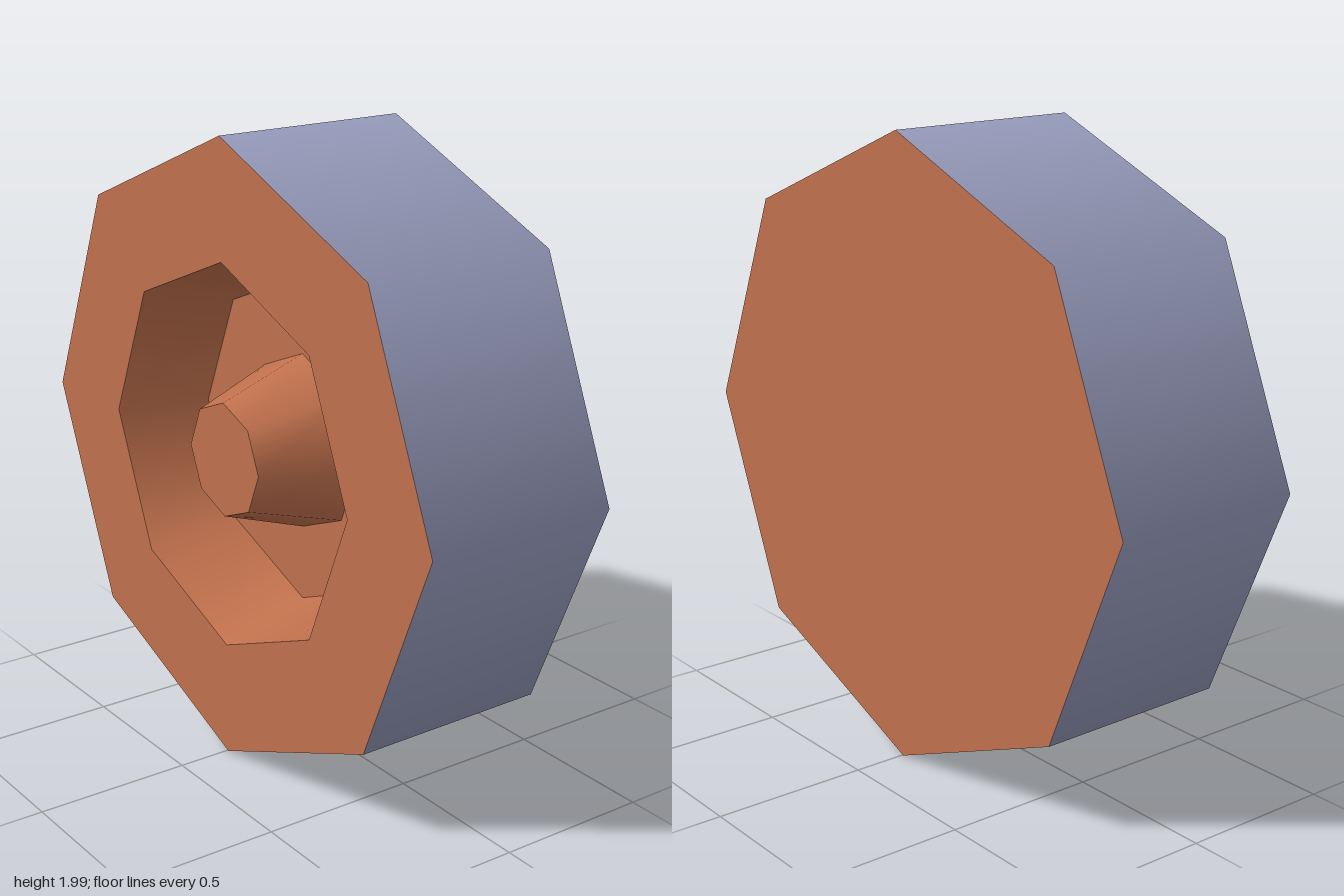
import * as THREE from 'three';

export function createModel() {
  const tyre = new THREE.MeshStandardMaterial({ color: 0x959aba });
  tyre.name = 'greyBlue';
  const hub = new THREE.MeshStandardMaterial({ color: 0xc1714d });
  hub.name = 'copperBrown';

  const R = 0.995, H = 0.3275, floor = 0.03;

  // Wheel cross-section from the inner face, round the tread, to the hub tip:
  // each ring is [name, material, start [radius, axial], end [radius, axial]]
  const rings = [
    ['innerFace', hub, [0, -H], [R, -H]],
    ['tread', tyre, [R, -H], [R, H]],
    ['outerRim', hub, [R, H], [0.62, H]],
    ['recessWall', hub, [0.62, H], [0.535, floor]],
    ['recessFloor', hub, [0.535, floor], [0.287, floor]],
    ['hubCone', hub, [0.287, floor], [0.184, H]],
    ['hubCap', hub, [0.184, H], [0, H]],
  ];

  // Eight-sided rings, smooth within each ring and sharp between them
  const wheel = new THREE.Group();
  wheel.name = 'wheel';
  for (const [name, material, a, b] of rings) {
    const profile = [new THREE.Vector2(...a), new THREE.Vector2(...b)];
    const geometry = new THREE.LatheGeometry(profile, 8);
    geometry.rotateZ(Math.PI / 2); // axle along x, hub towards -x
    const mesh = new THREE.Mesh(geometry, material);
    mesh.name = name;
    wheel.add(mesh);
  }

  // The wheel is turned very slightly about the vertical
  wheel.rotation.y = 0.0145;
  wheel.position.y = R;

  const model = new THREE.Group();
  model.name = 'octagonalWheel';
  model.add(wheel);
  return model;
}
